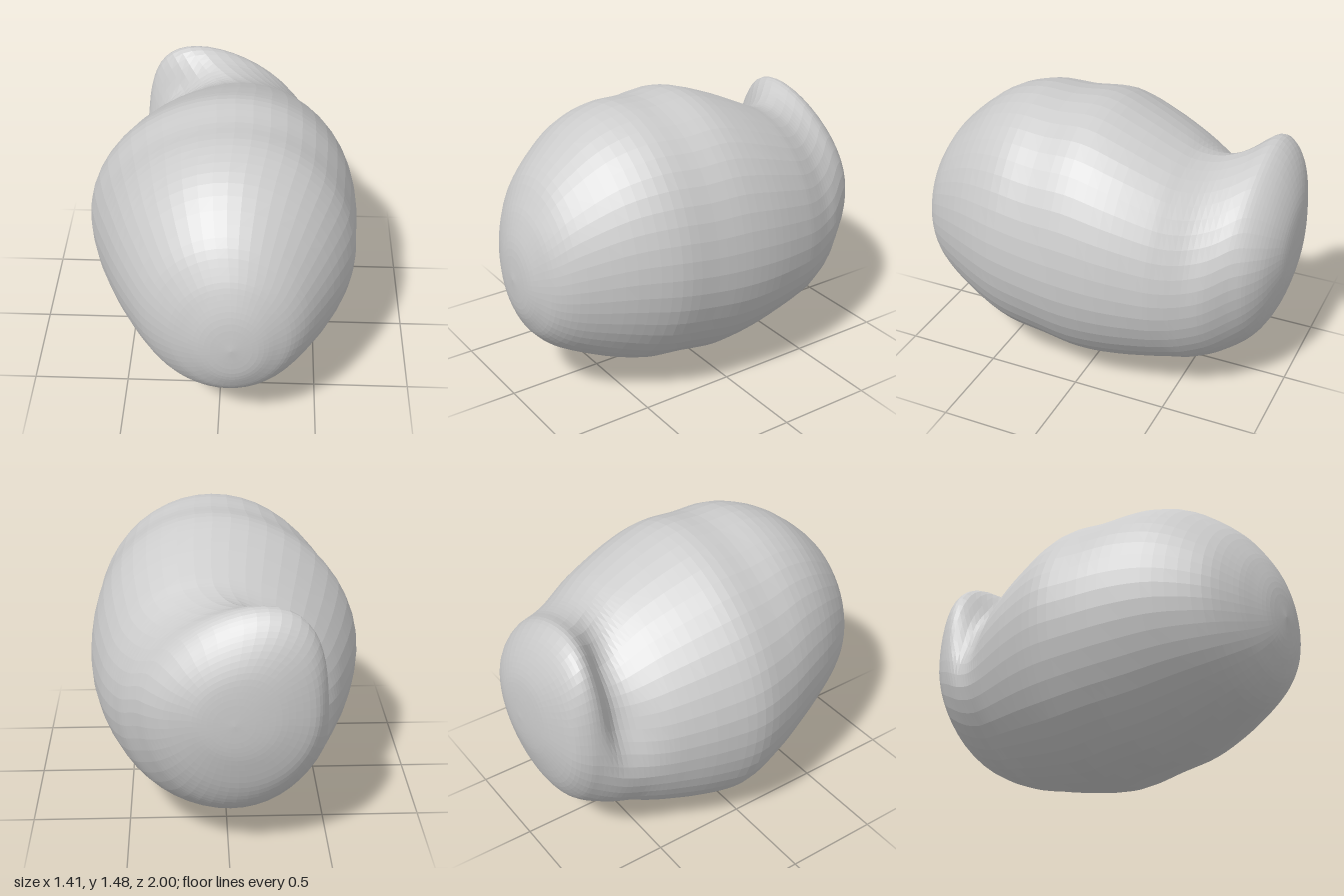
import * as THREE from 'three';

// Stations from front to back: z, xMin, xMax, yMin, yMax, sideways lean of the crown
const STATIONS = [
  [1.0, 0.07, 0.07, 0.70, 0.70, 0],
  [0.985, -0.06, 0.20, 0.54, 0.86, 0],
  [0.95, -0.16, 0.29, 0.44, 0.98, 0],
  [0.9, -0.26, 0.375, 0.36, 1.085, 0],
  [0.8, -0.38, 0.465, 0.27, 1.225, 0],
  [0.6, -0.51, 0.59, 0.17, 1.39, 0],
  [0.4, -0.60, 0.67, 0.09, 1.465, 0.02],
  [0.2, -0.67, 0.69, 0.04, 1.465, 0.05],
  [0.0, -0.71, 0.70, 0.00, 1.475, 0.06],
  [-0.2, -0.67, 0.685, 0.03, 1.41, 0.06],
  [-0.4, -0.60, 0.64, 0.08, 1.32, 0.05],
  [-0.5, -0.565, 0.605, 0.11, 1.275, 0.03],
  [-0.6, -0.535, 0.56, 0.14, 1.255, -0.02],
  [-0.7, -0.51, 0.515, 0.18, 1.27, -0.09],
  [-0.8, -0.48, 0.445, 0.24, 1.31, -0.15],
  [-0.87, -0.455, 0.39, 0.315, 1.27, -0.15],
  [-0.93, -0.40, 0.31, 0.43, 1.18, -0.11],
  [-0.975, -0.27, 0.20, 0.58, 1.06, -0.06],
  [-0.993, -0.15, 0.11, 0.68, 0.94, -0.02],
  [-1.0, -0.02, -0.02, 0.80, 0.80, 0],
];
const RINGS = 76;
const SIDES = 48;
const step = THREE.MathUtils.smoothstep;

// Pinch that separates the rear lobe from the body, across the crown and down the -x side
function groove(angle, z) {
  const deg = THREE.MathUtils.radToDeg(angle);
  const reach = step(deg, 85, 125) * (1 - step(deg, 158, 200));
  const d = z - (-0.64 - 0.04 * step(deg, 90, 140));
  const width = d > 0 ? 0.15 : 0.085;
  return 1 - 0.17 * reach * Math.exp(-((d / width) ** 2));
}

function lobedBody() {
  const curve = (...cols) => new THREE.CatmullRomCurve3(
    STATIONS.map((s) => new THREE.Vector3(...cols.map((c) => s[c]))), false, 'catmullrom', 0.5);
  const widths = curve(0, 1, 2);
  const heights = curve(3, 4, 5);
  const positions = [];
  const index = [];

  // Oval cross-sections
  for (let i = 0; i <= RINGS; i++) {
    const { x: z, y: x0, z: x1 } = widths.getPoint(i / RINGS);
    const { x: y0, y: y1, z: shift } = heights.getPoint(i / RINGS);
    for (let j = 0; j < SIDES; j++) {
      const a = (j / SIDES) * Math.PI * 2;
      const s = Math.sin(a);
      const k = groove(a, z);
      const lean = (s > 0 ? shift : -Math.max(shift, 0)) * s * s;
      positions.push(
        (x0 + x1) / 2 + k * ((x1 - x0) / 2 * Math.cos(a) + lean),
        (y0 + y1) / 2 + k * (y1 - y0) / 2 * s,
        z);
    }
  }
  // Skin; the first and last rings are points and take one triangle per side
  for (let i = 0; i < RINGS; i++) {
    for (let j = 0; j < SIDES; j++) {
      const a = i * SIDES + j, b = i * SIDES + (j + 1) % SIDES;
      const c = a + SIDES, d = b + SIDES;
      if (i > 0) index.push(a, c, b);
      if (i < RINGS - 1) index.push(b, c, d);
    }
  }
  const geometry = new THREE.BufferGeometry();
  geometry.setAttribute('position', new THREE.Float32BufferAttribute(positions, 3));
  geometry.setIndex(index);
  geometry.computeVertexNormals();
  return geometry;
}

export function createModel() {
  const group = new THREE.Group();
  group.name = 'lobedBlob';
  const material = new THREE.MeshStandardMaterial({ color: 0xcccccc, flatShading: true });
  const body = new THREE.Mesh(lobedBody(), material);
  body.name = 'body';
  group.add(body);
  return group;
}
